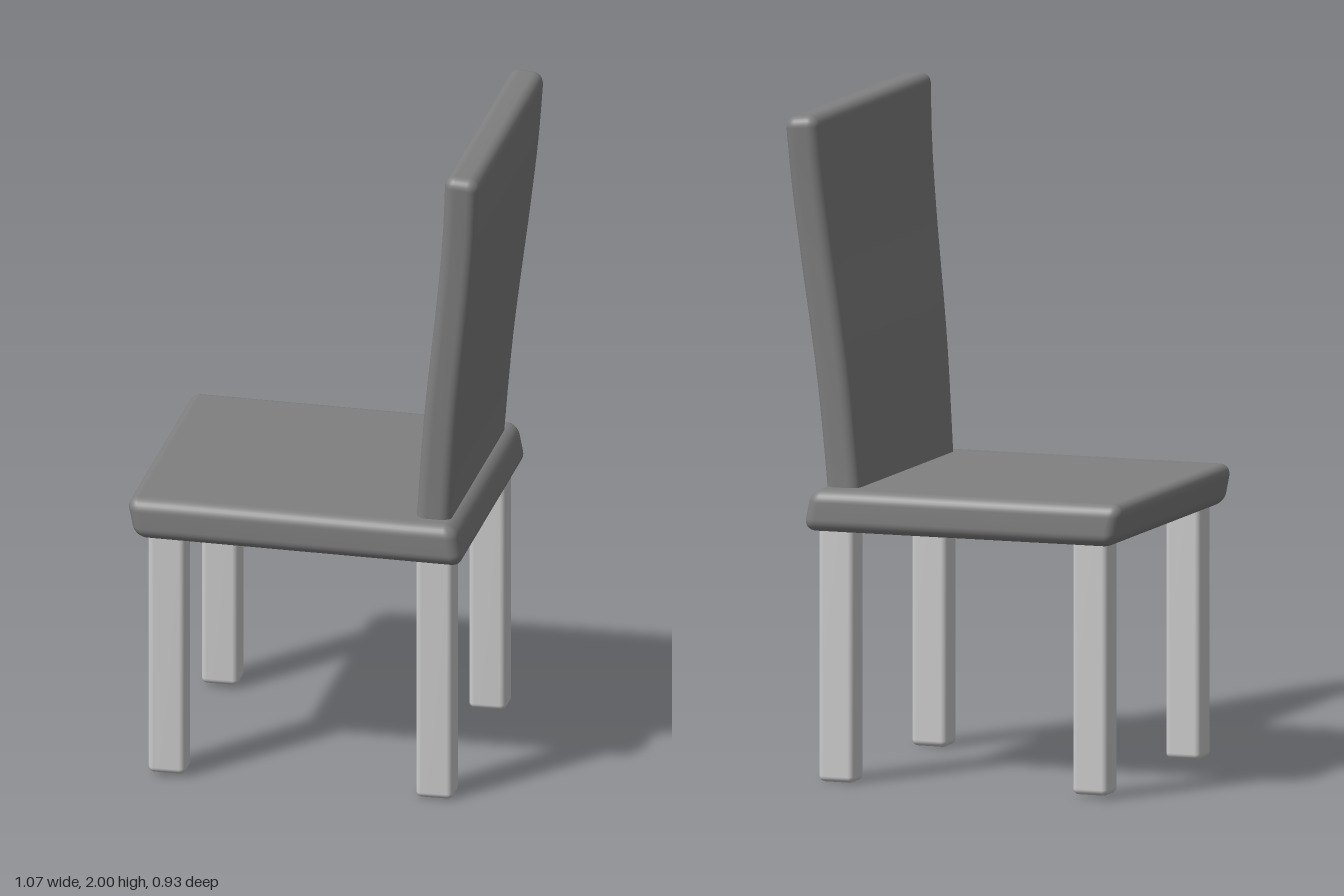
import * as THREE from 'three';
import { mergeVertices } from 'three/addons/utils/BufferGeometryUtils.js';

const ROUND = 4; // segments across each rounded edge

// Rounded box with evenly divided flat faces, bent by a warp rule
function softBox(size, r, mid, warp) {
  const n = mid.map((m) => m + 2 * ROUND);
  const geo = new THREE.BoxGeometry(...size, ...n);
  geo.deleteAttribute('normal');
  geo.deleteAttribute('uv');
  const pos = geo.attributes.position;
  const p = new THREE.Vector3();
  const inner = new THREE.Vector3();
  for (let i = 0; i < pos.count; i++) {
    p.fromBufferAttribute(pos, i);
    [0, 1, 2].forEach((a) => {
      const half = size[a] / 2;
      const k = Math.round((p.getComponent(a) / size[a] + 0.5) * n[a]);
      const edge = Math.min(k, n[a] - k);
      const flat = half - r;
      let v = -flat + (2 * flat * (k - ROUND)) / mid[a];
      if (edge < ROUND) v = (k < n[a] / 2 ? -1 : 1) * (flat + r * Math.tan((1 - edge / ROUND) * Math.PI / 4));
      p.setComponent(a, v);
      inner.setComponent(a, THREE.MathUtils.clamp(v, -flat, flat));
    });
    p.sub(inner).setLength(r).add(inner);
    if (warp) warp(p);
    pos.setXYZ(i, p.x, p.y, p.z);
  }
  const merged = mergeVertices(geo, 1e-5);
  merged.computeVertexNormals();
  return merged;
}

export function createModel() {
  const model = new THREE.Group();
  const padding = new THREE.MeshStandardMaterial({ color: 0x808080 });
  const legMaterial = new THREE.MeshStandardMaterial({ color: 0xcccccc });

  const add = (name, geometry, material, x, y, z) => {
    const mesh = new THREE.Mesh(geometry, material);
    mesh.name = name;
    mesh.position.set(x, y, z);
    model.add(mesh);
  };

  // Seat cushion: ends lean, surface falls slightly towards the backrest
  const seat = softBox([1.0, 0.127, 0.905], 0.038, [8, 2, 8], (p) => {
    p.x -= p.y * 0.2;
    p.y -= p.x * 0.009;
  });
  add('seat', seat, padding, -0.028, 0.823, -0.005);

  // Backrest: leans back and flares towards the top; rows of height, centre x, half width
  const rows = [[0.8, 0.375, 0.385], [0.9, 0.382, 0.388], [1.2, 0.406, 0.405],
    [1.6, 0.452, 0.432], [1.8, 0.472, 0.449], [2.0, 0.484, 0.469]];
  const spine = new THREE.CatmullRomCurve3(rows.map((r) => new THREE.Vector3(r[1], r[0], r[2])));
  const samples = spine.getPoints(100);
  const at = (y) => {
    const i = Math.max(1, samples.findIndex((s) => s.y >= y));
    const [a, b] = [samples[i - 1], samples[i]];
    return a.clone().lerp(b, (y - a.y) / (b.y - a.y));
  };
  const back = softBox([0.105, 1.198, 0.936], 0.034, [2, 16, 8], (p) => {
    const s = at(p.y + 1.4);
    p.y -= p.x * 0.09;
    p.x += s.x;
    p.z *= s.z / 0.468;
  });
  add('backrest', back, padding, 0, 1.402, -0.002);

  // Four legs, the pair under the backrest reaching slightly lower
  for (const side of [1, -1]) {
    const z = side * 0.365 - 0.001;
    const name = side > 0 ? 'Left' : 'Right';
    const leg = (bottom) => softBox([0.113, 0.8 - bottom, 0.09], 0.018, [1, 2, 1]);
    add('frontLeg' + name, leg(0.01), legMaterial, -0.422, 0.405, z);
    add('backLeg' + name, leg(0), legMaterial, 0.39, 0.4, z);
  }
  return model;
}
